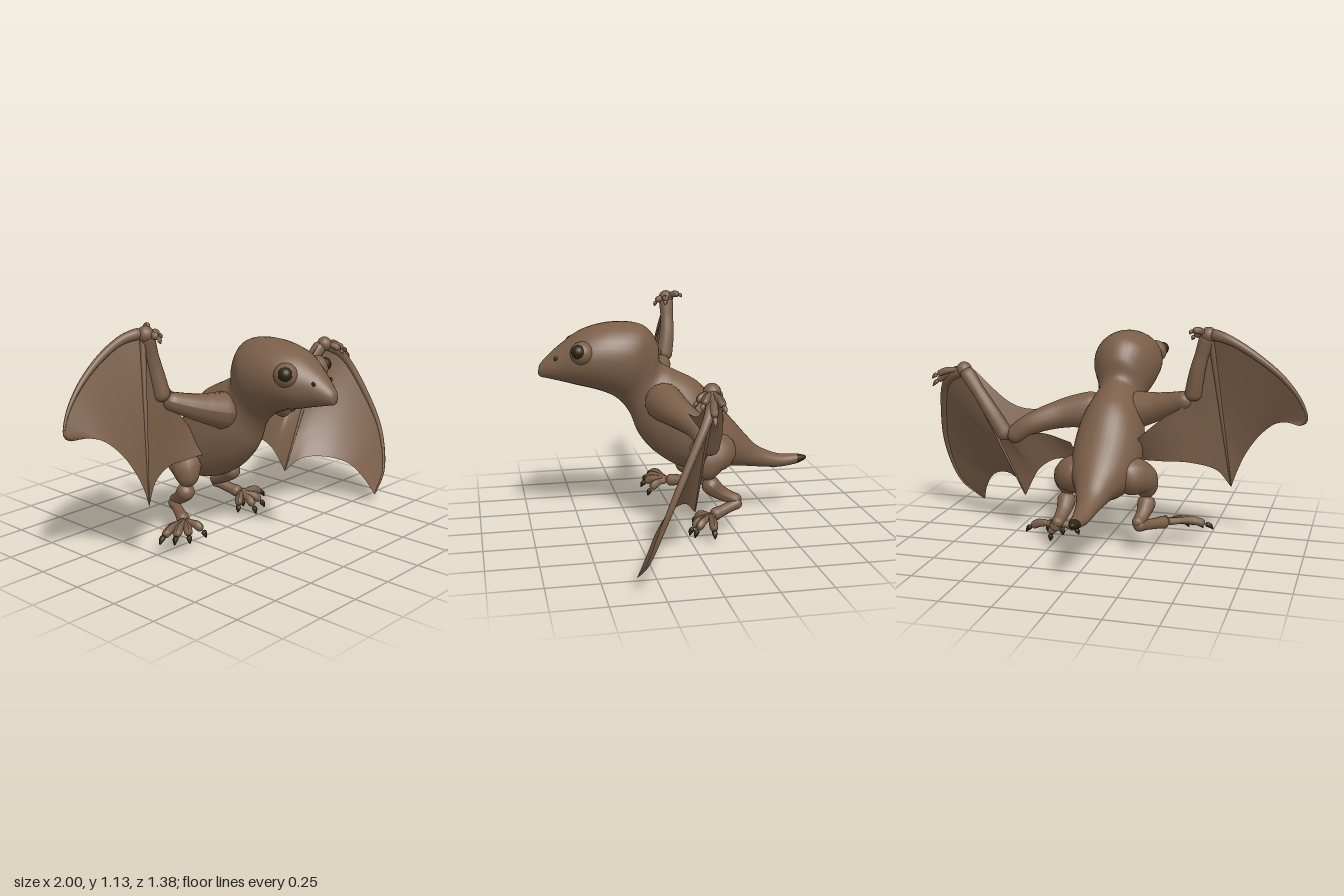
import * as THREE from 'three';

const V = (p) => new THREE.Vector3(...p);
const curveOf = (pts) => new THREE.CatmullRomCurve3(pts.map(V), false, 'centripetal');

const skin = new THREE.MeshStandardMaterial({ color: 0x7a5e48 });
skin.name = 'brown skin';
const web = new THREE.MeshStandardMaterial({ color: 0x7a5e48, side: THREE.DoubleSide });
web.name = 'brown wing skin';
const dark = new THREE.MeshStandardMaterial({ color: 0x2e2410 });
dark.name = 'dark horn and eyes';

function add(parent, name, geometry, material) {
  const mesh = new THREE.Mesh(geometry, material);
  mesh.name = name;
  parent.add(mesh);
  return mesh;
}

function indexed(pos, index) {
  const g = new THREE.BufferGeometry();
  g.setAttribute('position', new THREE.Float32BufferAttribute(pos, 3));
  g.setIndex(index);
  g.computeVertexNormals();
  return g;
}

// Elliptical loft; each station is [top z, top y, bottom z, bottom y, half width]
function loft(stations, rows, sides = 32, cx = -0.02) {
  const top = curveOf(stations.map((s) => [s[4], s[1], s[0]]));
  const bottom = curveOf(stations.map((s) => [0, s[3], s[2]]));
  const pos = [], index = [];
  for (let i = 0; i <= rows; i++) {
    const t = top.getPoint(i / rows), b = bottom.getPoint(i / rows);
    for (let j = 0; j < sides; j++) {
      const a = (j / sides) * Math.PI * 2, c = (1 + Math.cos(a)) / 2;
      pos.push(cx + Math.max(t.x, 0.001) * Math.sin(a), b.y + (t.y - b.y) * c, b.z + (t.z - b.z) * c);
      if (i === rows) continue;
      const p = i * sides + j, q = i * sides + ((j + 1) % sides);
      index.push(p, q, p + sides, q, q + sides, p + sides);
    }
  }
  return indexed(pos, index);
}

// Tapered tube through points with rounded ends
function limb(pts, radii, steps = 40, sides = 14) {
  const curve = curveOf(pts), length = curve.getLength();
  const g = new THREE.TubeGeometry(curve, steps, 1, sides);
  const pos = g.attributes.position, p = new THREE.Vector3();
  for (let i = 0; i < pos.count; i++) {
    const u = Math.floor(i / (sides + 1)) / steps;
    const k = u * (radii.length - 1), n = Math.min(Math.floor(k), radii.length - 2);
    let r = THREE.MathUtils.lerp(radii[n], radii[n + 1], k - n);
    const end = Math.min(1, (Math.min(u, 1 - u) * length) / r);
    r = Math.max(0.0004, r * Math.sqrt(1 - (1 - end) ** 2));
    const c = curve.getPointAt(u);
    p.fromBufferAttribute(pos, i).sub(c).multiplyScalar(r).add(c);
    pos.setXYZ(i, p.x, p.y, p.z);
  }
  g.computeVertexNormals();
  return g;
}

// Skin stretched between two edges
function panel(lead, trail, rows = 28, cols = 8) {
  const a = curveOf(lead), b = curveOf(trail), pos = [], index = [];
  for (let i = 0; i <= rows; i++) {
    const p = a.getPoint(i / rows), q = b.getPoint(i / rows);
    for (let j = 0; j <= cols; j++) {
      pos.push(...p.clone().lerp(q, j / cols).toArray());
      if (i === rows || j === cols) continue;
      const k = i * (cols + 1) + j;
      index.push(k, k + 1, k + cols + 1, k + 1, k + cols + 2, k + cols + 1);
    }
  }
  return indexed(pos, index);
}

// Curled digit with a claw
function digit(parent, name, from, tip, r, lift, clawMaterial) {
  const a = V(from), b = V(tip), mid = a.clone().lerp(b, 0.55);
  mid.y += lift;
  const joint = a.clone().lerp(b, 0.82);
  joint.y += lift * 0.75;
  const half = joint.clone().lerp(b, 0.5);
  half.y += lift * 0.25;
  add(parent, name, limb([from, mid.toArray(), joint.toArray()], [r, r * 0.8, r * 1.05, r * 0.95], 24, 10), skin);
  add(parent, name + 'Claw', limb([joint.toArray(), half.toArray(), tip], [r * 0.75, r * 0.6, 0.002], 12, 8), clawMaterial);
}

function wing(name, w) {
  const g = new THREE.Group();
  g.name = name;
  add(g, 'upperArm', limb(w.arm, [0.105, 0.09, 0.07, 0.055, 0.042]), skin);
  add(g, 'forearm', limb(w.forearm, [0.044, 0.04, 0.034, 0.04]), skin);
  add(g, 'wingFinger', limb(w.outerLead, [0.03, 0.02, 0.017, 0.013, 0.008, 0.003]), skin);
  add(g, 'wingStrut', limb([w.outerLead[0], w.outerTrail[0]], [0.016, 0.009, 0.003]), skin);
  add(g, 'innerMembrane', panel(w.innerLead, w.innerTrail), web);
  add(g, 'outerMembrane', panel(w.outerLead, w.outerTrail), web);
  add(g, 'frontMembrane', panel(w.frontLead, w.frontTrail), web);
  add(g, 'wrist', new THREE.SphereGeometry(0.04, 16, 12), skin).position.set(...w.wrist);
  w.tips.forEach((t, i) => digit(g, 'handFinger' + (i + 1), w.wrist, t, 0.017, 0.02, skin));
  return g;
}

function leg(name, l) {
  const g = new THREE.Group();
  g.name = name;
  const knee = l.thigh[l.thigh.length - 1];
  add(g, 'thigh', limb(l.thigh, [0.08, 0.092, 0.095, 0.085, 0.062, 0.048]), skin);
  add(g, 'shin', limb([knee, l.shin, l.heel], [0.05, 0.046, 0.036, 0.03, 0.03]), skin);
  add(g, 'foot', limb([l.heel, l.ball], [0.032, 0.026, 0.028, 0.036]), skin);
  l.tips.forEach((t, i) => digit(g, 'toe' + (i + 1), l.ball, t, 0.021, 0.03, dark));
  return g;
}

export function createModel() {
  const model = new THREE.Group();
  model.name = 'wingedReptile';

  // Head, trunk and tail in one smooth skin
  add(model, 'body', loft([
    [0.692, 0.815, 0.692, 0.8, 0.002], [0.685, 0.845, 0.685, 0.79, 0.024],
    [0.65, 0.885, 0.65, 0.78, 0.05], [0.58, 0.945, 0.58, 0.762, 0.09],
    [0.47, 1.015, 0.5, 0.74, 0.148], [0.32, 1.047, 0.41, 0.715, 0.17],
    [0.17, 1.025, 0.33, 0.68, 0.162], [0.1, 0.935, 0.28, 0.64, 0.125],
    [0.085, 0.84, 0.24, 0.58, 0.115], [0.02, 0.8, 0.2, 0.48, 0.14],
    [-0.1, 0.735, 0.12, 0.38, 0.165], [-0.22, 0.6, 0, 0.3, 0.17],
    [-0.3, 0.51, -0.14, 0.265, 0.145], [-0.36, 0.44, -0.27, 0.28, 0.1],
    [-0.425, 0.375, -0.42, 0.265, 0.06], [-0.54, 0.325, -0.54, 0.255, 0.042],
    [-0.64, 0.318, -0.63, 0.265, 0.029],
  ], 96), skin);
  add(model, 'tailTip', loft([
    [-0.64, 0.318, -0.63, 0.265, 0.029], [-0.67, 0.312, -0.665, 0.276, 0.02],
    [-0.688, 0.306, -0.686, 0.288, 0.01], [-0.692, 0.299, -0.692, 0.297, 0.001],
  ], 14), dark);

  // Bulging eyes and nostrils
  for (const s of [1, -1]) {
    const side = s > 0 ? 'left' : 'right';
    const lid = add(model, side + 'Eyelid', new THREE.SphereGeometry(0.058, 24, 16), skin);
    lid.position.set(-0.02 + s * 0.113, 0.915, 0.487);
    const eye = add(model, side + 'Eye', new THREE.SphereGeometry(0.034, 20, 14), dark);
    eye.position.set(-0.02 + s * 0.144, 0.928, 0.509);
    const nostril = add(model, side + 'Nostril', new THREE.SphereGeometry(0.011, 10, 8), dark);
    nostril.position.set(-0.02 + s * 0.064, 0.885, 0.61);
    nostril.scale.x = 0.5;
  }

  // Right wing, raised
  model.add(wing('rightWing', {
    arm: [[-0.06, 0.66, 0.11], [-0.26, 0.71, 0.06], [-0.43, 0.77, -0.01]],
    forearm: [[-0.43, 0.76, -0.01], [-0.46, 0.92, -0.035], [-0.51, 1.1, -0.04]],
    wrist: [-0.51, 1.09, -0.04],
    tips: [[-0.425, 1.06, -0.02], [-0.43, 1.1, -0.11], [-0.48, 1.05, 0.03]],
    innerLead: [[-0.18, 0.575, -0.1], [-0.29, 0.67, -0.06], [-0.42, 0.76, -0.02], [-0.46, 0.92, -0.04], [-0.52, 1.1, -0.05]],
    innerTrail: [[-0.16, 0.44, 0], [-0.28, 0.44, 0], [-0.42, 0.44, 0.01], [-0.55, 0.4, 0.05], [-0.62, 0.31, 0.08]],
    outerLead: [[-0.52, 1.1, -0.05], [-0.62, 1.075, -0.08], [-0.74, 1.01, -0.09], [-0.88, 0.9, -0.08], [-0.97, 0.78, -0.065], [-0.99, 0.7, -0.055], [-0.955, 0.675, -0.05]],
    outerTrail: [[-0.62, 0.31, 0.08], [-0.65, 0.4, 0.08], [-0.695, 0.5, 0.065], [-0.76, 0.595, 0.045], [-0.83, 0.66, 0.015], [-0.89, 0.68, -0.015], [-0.955, 0.675, -0.05]],
    frontLead: [[-0.15, 0.77, 0.1], [-0.38, 0.79, 0.02], [-0.48, 1.06, -0.03]],
    frontTrail: [[-0.15, 0.68, 0.08], [-0.42, 0.75, -0.01], [-0.5, 1.06, -0.04]],
  }));

  // Left wing, drooping
  model.add(wing('leftWing', {
    arm: [[0.03, 0.67, 0.11], [0.24, 0.645, 0.06], [0.41, 0.59, -0.02], [0.52, 0.51, -0.04]],
    forearm: [[0.52, 0.51, -0.04], [0.63, 0.68, -0.04], [0.77, 0.86, 0]],
    wrist: [0.775, 0.855, 0.01],
    tips: [[0.97, 0.75, 0.04], [0.95, 0.8, -0.01], [0.89, 0.8, 0.08], [0.83, 0.8, 0.1]],
    innerLead: [[0.17, 0.53, -0.09], [0.34, 0.56, -0.06], [0.52, 0.51, -0.04], [0.63, 0.68, -0.04], [0.77, 0.86, 0]],
    innerTrail: [[0.14, 0.43, -0.03], [0.27, 0.42, -0.03], [0.36, 0.36, -0.02], [0.41, 0.28, 0], [0.45, 0.2, 0.01]],
    outerLead: [[0.77, 0.86, 0], [0.89, 0.78, 0.05], [0.96, 0.59, 0.15], [0.99, 0.37, 0.25], [0.94, 0.16, 0.32], [0.82, 0.05, 0.35]],
    outerTrail: [[0.45, 0.2, 0.01], [0.52, 0.27, 0.07], [0.62, 0.275, 0.16], [0.72, 0.23, 0.24], [0.785, 0.14, 0.3], [0.82, 0.05, 0.35]],
    frontLead: [[0.1, 0.73, 0.12], [0.46, 0.67, 0.01], [0.74, 0.87, 0.01]],
    frontTrail: [[0.1, 0.66, 0.1], [0.51, 0.53, -0.04], [0.74, 0.83, -0.01]],
  }));

  // Legs and clawed feet
  model.add(leg('rightLeg', {
    thigh: [[-0.08, 0.39, -0.21], [-0.155, 0.395, -0.15], [-0.205, 0.36, -0.09], [-0.225, 0.27, -0.05]],
    shin: [-0.215, 0.2, -0.12], heel: [-0.195, 0.155, -0.2], ball: [-0.31, 0.125, 0],
    tips: [[-0.54, 0.085, 0.06], [-0.48, 0.075, 0.1], [-0.4, 0.065, 0.125], [-0.27, 0.055, 0.11]],
  }));
  model.add(leg('leftLeg', {
    thigh: [[0.04, 0.39, -0.23], [0.115, 0.395, -0.18], [0.165, 0.355, -0.13], [0.18, 0.27, -0.1]],
    shin: [0.18, 0.2, -0.18], heel: [0.19, 0.15, -0.285], ball: [0.24, 0.1, -0.12],
    tips: [[0.14, 0.03, -0.05], [0.24, 0.005, -0.01], [0.32, 0.02, -0.02], [0.41, 0.04, -0.1], [0.27, 0.01, -0.13]],
  }));
  return model;
}
